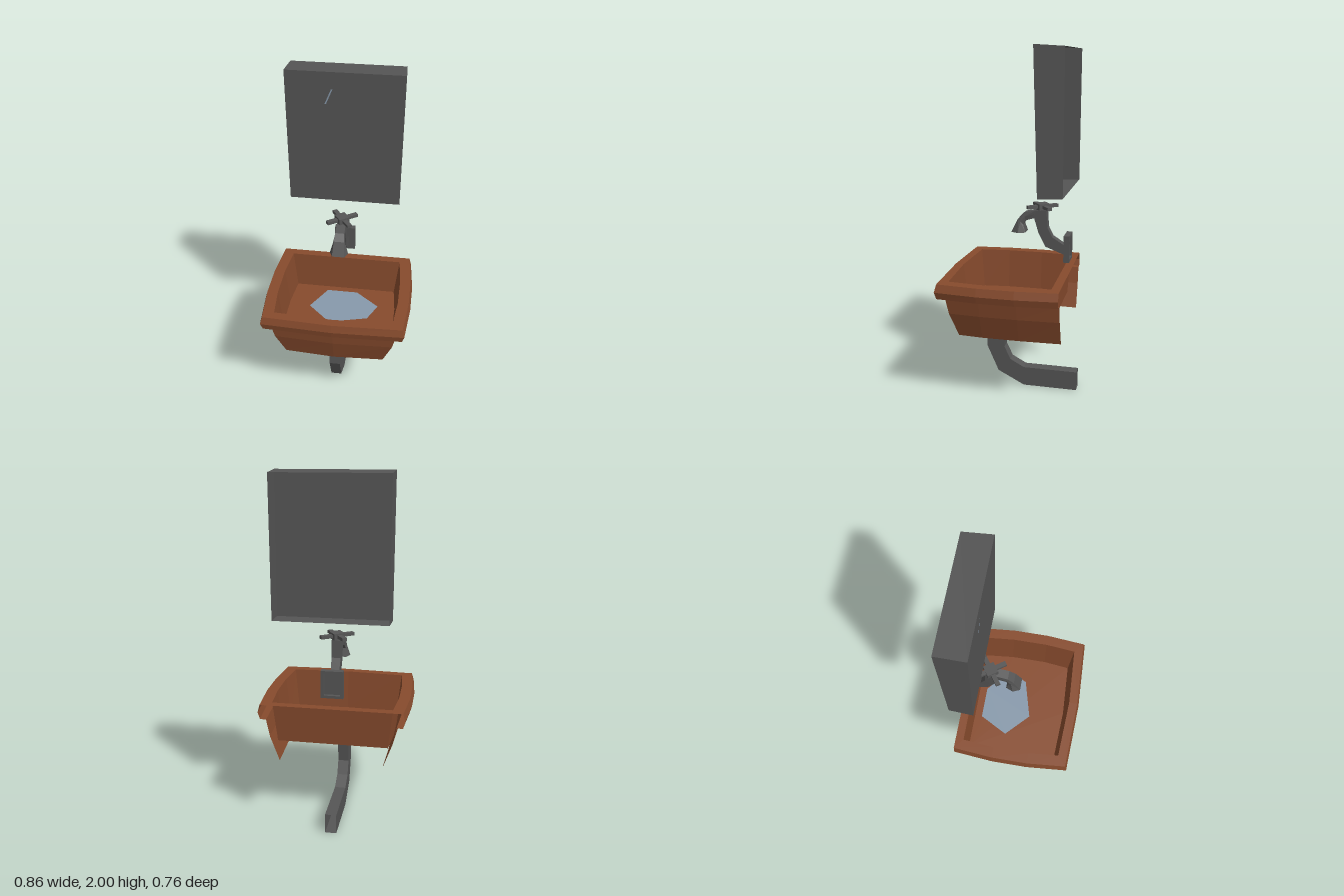
import * as THREE from 'three';

const DS = THREE.DoubleSide;
const clay = new THREE.MeshStandardMaterial({ color: 0x874b2d, side: DS });
clay.name = 'brown clay';
const metal = new THREE.MeshStandardMaterial({ color: 0x555555, side: DS });
metal.name = 'dark grey metal';
const water = new THREE.MeshStandardMaterial({ color: 0x8799ab, side: DS });
water.name = 'pale blue';

// Faceted skin through rings of [x, y, z] points; open leaves out the last strip of each ring
function loft(name, material, rings, { open = false, capEnd = false, capStart = false } = {}) {
  const pos = [];
  const tri = (a, b, c) => pos.push(...a, ...b, ...c);
  for (let r = 0; r + 1 < rings.length; r++) {
    const A = rings[r], B = rings[r + 1], n = A.length;
    for (let i = 0; i < (open ? n - 1 : n); i++) {
      const j = (i + 1) % n;
      tri(A[i], A[j], B[j]);
      tri(A[i], B[j], B[i]);
    }
  }
  const cap = (ring) => {
    for (let i = 1; i + 1 < ring.length; i++) tri(ring[0], ring[i], ring[i + 1]);
  };
  if (capEnd) cap(rings[rings.length - 1]);
  if (capStart) cap([...rings[0]].reverse());
  const geo = new THREE.BufferGeometry();
  geo.setAttribute('position', new THREE.Float32BufferAttribute(pos, 3));
  geo.computeVertexNormals();
  const mesh = new THREE.Mesh(geo, material);
  mesh.name = name;
  return mesh;
}

// Basin outline at one height: bowed sides and front, straight back
function outline(y, cornerX, sideX, frontZ, backZ, bow = 0.017) {
  const half = [[cornerX, backZ], [sideX, -0.09], [sideX, 0.12], [cornerX, frontZ]];
  const mirrored = half.map(([x, z]) => [-x, z]).reverse();
  return [...half, [0, frontZ + bow], ...mirrored].map(([x, z]) => [x, y, z]);
}

const rect = (x0, x1, y0, y1, z) => [[x0, y0, z], [x1, y0, z], [x1, y1, z], [x0, y1, z]];

const CX = -0.01; // the plumbing sits slightly off centre

// Six-sided pipe section between an outer and an inner [z, y] point
function section([oz, oy, iz, iy, w, edge = w]) {
  const mz = (oz + iz) / 2, my = (oy + iy) / 2;
  return [
    [CX - edge, oy, oz], [CX + edge, oy, oz], [CX + w, my, mz],
    [CX + edge, iy, iz], [CX - edge, iy, iz], [CX - w, my, mz],
  ];
}

function createBasin() {
  const g = new THREE.Group();
  g.name = 'basin';
  const rimTop = outline(0.735, 0.4, 0.42, 0.35, -0.325);
  const mouth = outline(0.735, 0.34, 0.357, 0.3, -0.277);
  const skirtTop = outline(0.65, 0.365, 0.378, 0.315, -0.325);
  g.add(
    // flat top, including the strip along the back
    loft('rimTop', clay, [mouth, rimTop]),
    // rolled lip and its underside, open at the wall
    loft('rimEdge', clay, [
      rimTop,
      outline(0.69, 0.412, 0.432, 0.361, -0.325),
      outline(0.65, 0.4, 0.42, 0.352, -0.325),
      skirtTop,
    ], { open: true }),
    // tapered outer shell, open at the back and below
    loft('outerShell', clay, [
      skirtTop,
      outline(0.55, 0.345, 0.356, 0.3, -0.325),
      outline(0.405, 0.292, 0.302, 0.26, -0.325),
    ], { open: true }),
    // inner bowl with floor
    loft('bowl', clay, [outline(0.5, 0.315, 0.332, 0.278, -0.265, 0.015), mouth], { capStart: true }),
  );

  // puddle on the bowl floor
  const puddle = [[0.225, -0.1], [0.17, 0.02], [-0.06, 0.082], [-0.2, -0.052], [-0.11, -0.22], [0.08, -0.22]];
  g.add(loft('water', water, [puddle.map(([x, z]) => [x, 0.505, z])], { capStart: true }));
  return g;
}

function createTap() {
  const g = new THREE.Group();
  g.name = 'tap';
  // wall plate with a recessed back
  g.add(loft('wallPlate', metal, [
    rect(CX - 0.045, CX + 0.045, 0.815, 0.94, -0.305),
    rect(CX - 0.045, CX + 0.045, 0.815, 0.94, -0.325),
    rect(CX - 0.062, CX + 0.062, 0.8, 0.955, -0.325),
    rect(CX - 0.062, CX + 0.062, 0.8, 0.955, -0.292),
  ], { capStart: true, capEnd: true }));
  // swan neck, flaring at the spout
  g.add(loft('spout', metal, [
    [-0.3, 0.885, -0.292, 0.835, 0.024],
    [-0.22, 0.936, -0.18, 0.878, 0.024],
    [-0.192, 0.99, -0.14, 0.957, 0.026],
    [-0.185, 1.09, -0.115, 1.04, 0.026],
    [-0.127, 1.09, -0.105, 1.04, 0.026],
    [-0.055, 1.074, -0.064, 1.028, 0.03, 0.026],
    [-0.02, 1.037, -0.05, 1.005, 0.036, 0.03],
    [0.018, 0.957, -0.065, 0.957, 0.054, 0.036],
  ].map(section), { capEnd: true }));
  // cross handle
  const handle = new THREE.Group();
  handle.name = 'handle';
  handle.position.set(CX, 1.11, -0.157);
  handle.rotation.y = 0.62;
  for (const [name, w, h, d] of [['bar', 0.2, 0.018, 0.027], ['bar', 0.027, 0.018, 0.19], ['hub', 0.066, 0.036, 0.066]]) {
    const mesh = new THREE.Mesh(new THREE.BoxGeometry(w, h, d), metal);
    mesh.name = name;
    handle.add(mesh);
  }
  g.add(handle);
  return g;
}

export function createModel() {
  const model = new THREE.Group();
  model.name = 'washBasinSet';
  model.add(createBasin(), createTap());

  // square drain pipe, open at both ends
  model.add(loft('drainPipe', metal, [
    [0.16, 0.39, 0.053, 0.39],
    [0.17, 0.238, 0.063, 0.238],
    [0.1, 0.08, 0.026, 0.16],
    [-0.058, 0, -0.058, 0.115],
    [-0.378, 0, -0.378, 0.115],
  ].map((p) => section([...p, 0.032]))));

  // mirror case, open at the back, leaning slightly forward
  const back = rect(-0.315, 0.315, 1.222, 1.99, -0.325);
  const front = rect(-0.32, 0.32, 1.215, 2, -0.19);
  front[2][2] = front[3][2] = -0.165;
  model.add(loft('mirrorCase', metal, [back, front], { capEnd: true }));

  // small glint on the glass
  const glint = [[-0.108, 1.82], [-0.1, 1.82], [-0.064, 1.905], [-0.072, 1.905]];
  model.add(loft('mirrorGlint', water, [glint.map(([x, y]) => [x, y, -0.188 + (y - 1.215) * 0.032])], { capEnd: true }));
  return model;
}
